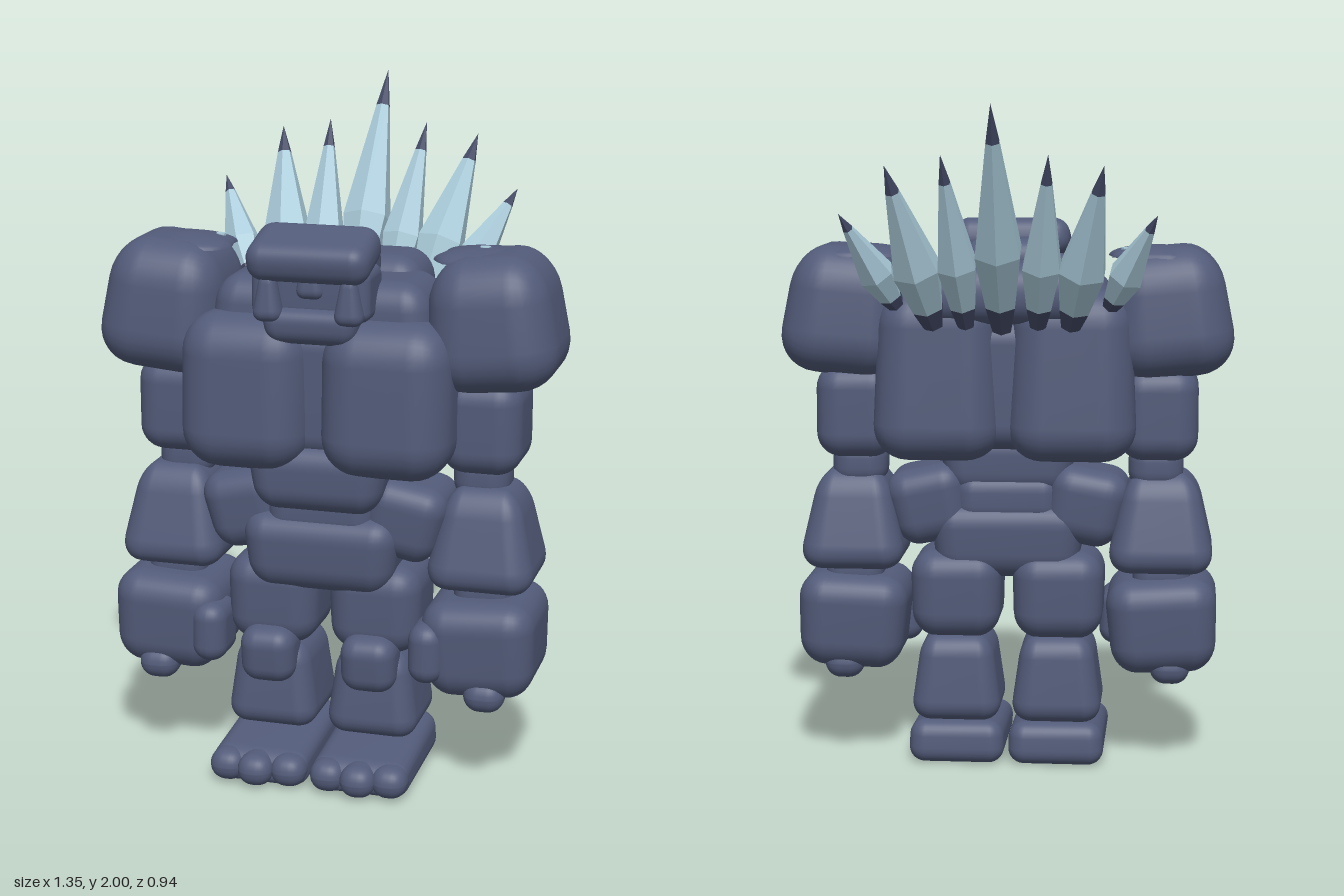
import * as THREE from 'three';
import { mergeVertices } from 'three/addons/utils/BufferGeometryUtils.js';
import { RoundedBoxGeometry } from 'three/addons/geometries/RoundedBoxGeometry.js';

export function createModel() {
  const rock = new THREE.MeshStandardMaterial({ name: 'slate rock', color: 0x525b79 });
  const ice = new THREE.MeshStandardMaterial({ name: 'pale ice', color: 0xaacbda, flatShading: true });
  const tip = new THREE.MeshStandardMaterial({ name: 'dark tip', color: 0x444a66, flatShading: true });
  const golem = new THREE.Group();
  golem.name = 'rockGolem';

  const add = (name, geometry, material, parent = golem) => {
    const mesh = new THREE.Mesh(geometry, material);
    mesh.name = name;
    parent.add(mesh);
    return mesh;
  };

  // Worn boulder filling the given x, y and z ranges; top and bottom scale its ends [x, z],
  // slope lowers the top towards the front
  function block(name, [x0, x1], [y0, y1], [z0, z1], r, o = {}) {
    const w = x1 - x0, h = y1 - y0, d = z1 - z0;
    const { top = [1, 1], bottom = [1, 1], rx = 0, rz = 0, slope = 0 } = o;
    const radius = Math.min(r, w * 0.49, h * 0.49, d * 0.49);
    let g = new RoundedBoxGeometry(w, h, d, 4, radius);
    g.deleteAttribute('uv');
    g.deleteAttribute('normal');
    g = mergeVertices(g);
    const p = g.attributes.position;
    for (let i = 0; i < p.count; i++) {
      const t = p.getY(i) / h + 0.5;
      p.setY(i, p.getY(i) - slope * t * (p.getZ(i) / d + 0.5));
      p.setX(i, p.getX(i) * THREE.MathUtils.lerp(bottom[0], top[0], t));
      p.setZ(i, p.getZ(i) * THREE.MathUtils.lerp(bottom[1], top[1], t));
    }
    g.computeVertexNormals();
    const mesh = add(name, g, rock);
    mesh.position.set((x0 + x1) / 2, (y0 + y1) / 2, (z0 + z1) / 2);
    mesh.rotation.set(rx, 0, rz);
    return mesh;
  }

  // The same boulder on both sides of the body
  function pair(name, x, y, z, r, o = {}) {
    block('left' + name, x, y, z, r, o);
    block('right' + name, [-x[1], -x[0]], y, z, r, { ...o, rz: -(o.rz || 0) });
  }

  // Torso
  block('backHump', [-0.26, 0.26], [1.36, 1.54], [-0.125, 0.14], 0.08, { top: [0.95, 0.95] });
  block('collar', [-0.34, 0.34], [1.25, 1.5], [0.0, 0.32], 0.08, { top: [0.9, 0.9] });
  block('ribCore', [-0.33, 0.33], [0.98, 1.38], [-0.06, 0.34], 0.08);
  pair('Chest', [0.01, 0.405], [0.945, 1.4], [0.08, 0.425], 0.12, { top: [0.95, 0.88], bottom: [0.97, 1] });
  pair('BackSlab', [0.005, 0.395], [0.95, 1.46], [-0.125, 0.22], 0.11, { top: [0.88, 0.85] });
  block('abdomen', [-0.215, 0.215], [0.825, 1.03], [0.04, 0.365], 0.075, { bottom: [0.85, 0.95] });
  block('waist', [-0.16, 0.16], [0.74, 0.9], [0.04, 0.31], 0.06);
  pair('Hip', [0.11, 0.365], [0.68, 0.915], [0.02, 0.3], 0.075, { bottom: [0.85, 0.9], rz: -0.2 });
  block('pelvis', [-0.24, 0.24], [0.575, 0.81], [0.02, 0.34], 0.08, { bottom: [0.88, 0.9] });

  // Legs
  pair('Thigh', [0.015, 0.295], [0.39, 0.66], [0.01, 0.3], 0.08, { bottom: [0.95, 0.95] });
  pair('Knee', [0.07, 0.235], [0.29, 0.46], [0.2, 0.35], 0.055, { rx: 0.1 });
  pair('Shin', [0.01, 0.295], [0.135, 0.4], [0.0, 0.31], 0.065, { top: [0.74, 0.85] });
  pair('Foot', [0.005, 0.298], [0.005, 0.14], [0.0, 0.43], 0.05, { top: [0.97, 0.95], slope: 0.035 });
  for (const x of [0.06, 0.155, 0.245])
    pair('Toe', [x - 0.053, x + 0.053], [0.01, 0.105], [0.34, x === 0.155 ? 0.47 : 0.45], 0.05);

  // Arms
  pair('Shoulder', [0.28, 0.682], [1.195, 1.58], [-0.072, 0.345], 0.13, { top: [0.8, 0.85], rz: 0.09 });
  pair('UpperArm', [0.335, 0.573], [0.945, 1.23], [-0.01, 0.26], 0.075);
  pair('Elbow', [0.365, 0.53], [0.85, 1.0], [0.04, 0.2], 0.06);
  pair('Forearm', [0.295, 0.635], [0.605, 0.905], [-0.04, 0.315], 0.08, { top: [0.6, 0.6] });
  pair('Wrist', [0.38, 0.555], [0.53, 0.65], [0.05, 0.24], 0.05);
  pair('Fist', [0.3, 0.642], [0.295, 0.585], [-0.02, 0.345], 0.085, { bottom: [0.9, 0.92], rz: 0.05 });
  pair('Thumb', [0.275, 0.38], [0.34, 0.52], [0.19, 0.36], 0.05);
  for (const z of [0.065, 0.175, 0.285])
    pair('Finger', [0.435, 0.555], [0.262, 0.36], [z - 0.055, z + 0.055], 0.048);

  // Head
  block('skull', [-0.137, 0.137], [1.38, 1.6], [0.07, 0.37], 0.06);
  block('brow', [-0.177, 0.177], [1.525, 1.64], [0.225, 0.435], 0.05, { rx: 0.27 });
  block('nose', [-0.045, 0.045], [1.46, 1.54], [0.32, 0.39], 0.03, { top: [0.7, 0.8] });
  block('jaw', [-0.145, 0.145], [1.33, 1.435], [0.18, 0.405], 0.045, { bottom: [0.88, 0.9] });
  pair('Cheek', [0.1, 0.172], [1.4, 1.55], [0.22, 0.38], 0.03);
  pair('Tusk', [0.07, 0.165], [1.395, 1.54], [0.34, 0.42], 0.035, { top: [0.4, 0.6] });

  // Ragged low dome and frozen fleck on top of each shoulder
  for (const [side, fx, fz] of [[1, 0.44, 0.12], [-1, -0.355, 0.085]]) {
    const dome = new THREE.SphereGeometry(1, 24, 8, 0, Math.PI * 2, 0, Math.PI / 2);
    const p = dome.attributes.position;
    for (let i = 0; i < p.count; i++) {
      const a = Math.atan2(p.getZ(i), p.getX(i));
      const r = 1 + 0.05 * Math.sin(5 * a + side) + 0.03 * Math.sin(9 * a);
      p.setX(i, p.getX(i) * r);
      p.setZ(i, p.getZ(i) * r);
    }
    dome.scale(0.145, 0.035, 0.13);
    dome.computeVertexNormals();
    const cap = add('shoulderCap', dome, rock);
    cap.position.set(side * 0.445, 1.55, 0.125);
    const fleck = add('iceFleck', new THREE.CylinderGeometry(0.016, 0.016, 0.008, 7), ice);
    fleck.position.set(fx, side > 0 ? 1.583 : 1.574, fz);
  }

  // Six-sided shard from base to point, with dark root and dark point
  function shard(base, point, radius) {
    const from = new THREE.Vector3(...base), axis = new THREE.Vector3(...point).sub(from);
    const length = axis.length();
    const g = new THREE.Group();
    g.name = 'iceShard';
    const rings = [[0, 0.42], [0.12, 0.66], [0.36, 1], [0.84, 0.29], [1, 0.001]];
    rings.slice(1).forEach(([t1, r1], i) => {
      const [t0, r0] = rings[i];
      const part = add(['shardRoot', 'shardLower', 'shardUpper', 'shardTip'][i],
        new THREE.CylinderGeometry(r1 * radius, r0 * radius, (t1 - t0) * length, 6, 1, i > 0),
        i === 0 || i === 3 ? tip : ice, g);
      part.position.y = (t0 + t1) / 2 * length;
    });
    g.position.copy(from);
    g.quaternion.setFromUnitVectors(new THREE.Vector3(0, 1, 0), axis.normalize());
    golem.add(g);
  }

  // Crest of shards fanning from the upper back
  shard([0, 1.35, -0.09], [0, 2, -0.468], 0.074);
  for (const s of [1, -1]) {
    shard([s * 0.105, 1.36, -0.09], [s * 0.15, 1.86, -0.355], 0.062);
    shard([s * 0.2, 1.36, -0.09], [s * 0.305, 1.83, -0.37], 0.074);
    shard([s * 0.31, 1.41, -0.06], [s * 0.452, 1.69, -0.255], 0.055);
  }

  return golem;
}
